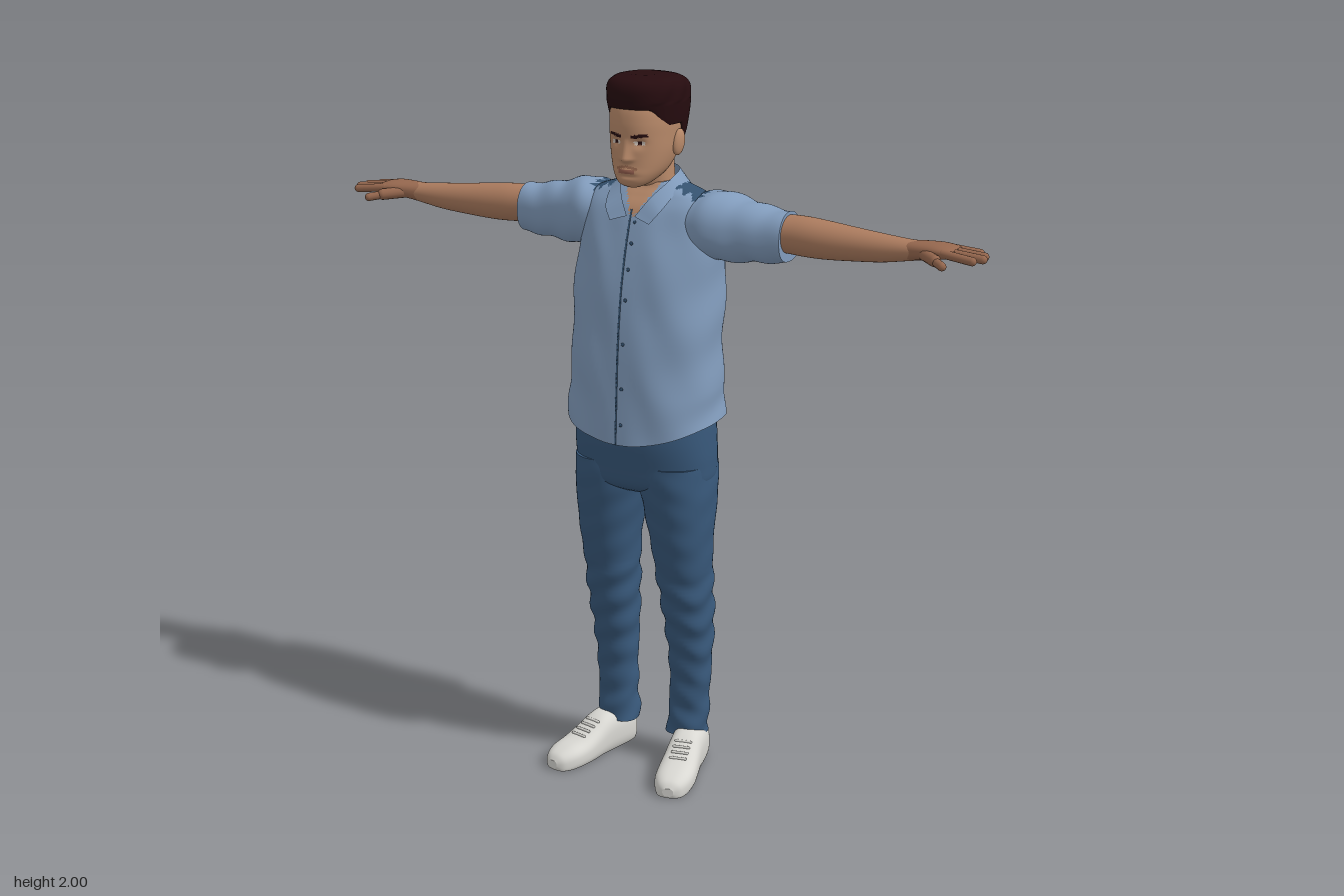
import * as THREE from 'three';

const mat = (name, color) => {
  const m = new THREE.MeshStandardMaterial({ color, side: THREE.DoubleSide });
  m.name = name;
  return m;
};

// Which coordinates (along, a, b) each loft axis uses
const AXES = { x: [0, 2, 1], y: [1, 0, 2], z: [2, 1, 0] };

// Rounded body along an axis. Rows: [along, aMin, aMax, bMin, bMax]; n = squareness of the section
function loft(axis, rows, { n = 2.3, seg = 48, sub = 6, warp, color, caps = [true, true] } = {}) {
  const [T, A, B] = AXES[axis];
  const pos = [], buckets = [], steps = (rows.length - 1) * sub;
  const spline = (p0, p1, p2, p3, t) => 0.5 * (2 * p1 + (p2 - p0) * t
    + (2 * p0 - 5 * p1 + 4 * p2 - p3) * t * t + (3 * p1 - p0 - 3 * p2 + p3) * t * t * t);
  const at = (s) => {
    const i = Math.min(Math.floor(s / sub), rows.length - 2);
    const r = (k) => rows[THREE.MathUtils.clamp(i + k, 0, rows.length - 1)];
    return rows[0].map((_, c) => spline(r(-1)[c], r(0)[c], r(1)[c], r(2)[c], s / sub - i));
  };
  const pw = (v) => Math.sign(v) * Math.pow(Math.abs(v), 2 / n);
  const push = (r, ca, cb) => {
    const p = [0, 0, 0];
    p[T] = r[0];
    p[A] = (r[1] + r[2]) / 2 + (r[2] - r[1]) / 2 * ca;
    p[B] = (r[3] + r[4]) / 2 + (r[4] - r[3]) / 2 * cb;
    const v = new THREE.Vector3(...p);
    if (warp) warp(v);
    return pos.push(v) - 1;
  };
  const ring = (r) => {
    const start = pos.length;
    for (let j = 0; j < seg; j++) {
      const th = j / seg * Math.PI * 2;
      push(r, pw(Math.cos(th)), pw(Math.sin(th)));
    }
    return start;
  };
  const tri = (a, b, c) => {
    const mid = pos[a].clone().add(pos[b]).add(pos[c]).divideScalar(3);
    const k = color ? color(mid) : 0;
    (buckets[k] ||= []).push(a, b, c);
  };
  for (let s = 0; s <= steps; s++) ring(at(s));
  for (let s = 0; s < steps; s++) for (let j = 0; j < seg; j++) {
    const a = s * seg + j, b = s * seg + (j + 1) % seg;
    tri(a, a + seg, b);
    tri(b, a + seg, b + seg);
  }
  [0, steps].forEach((s, e) => {
    if (!caps[e]) return;
    const r = at(s), st = ring(r), c = push(r, 0, 0);
    for (let j = 0; j < seg; j++) {
      const a = st + j, b = st + (j + 1) % seg;
      e ? tri(c, b, a) : tri(c, a, b);
    }
  });
  return build(pos, buckets);
}

function build(points, buckets) {
  const g = new THREE.BufferGeometry().setFromPoints(points);
  g.setIndex(buckets.flat());
  let start = 0;
  buckets.forEach((b, k) => { g.addGroup(start, b.length, k); start += b.length; });
  g.computeVertexNormals();
  return g;
}

function mirrored(geo) {
  const g = geo.clone().scale(-1, 1, 1), ix = g.index.array;
  for (let i = 0; i < ix.length; i += 3) [ix[i], ix[i + 1]] = [ix[i + 1], ix[i]];
  return g;
}

// Round-ended rod between two points
function rod(p, q, r) {
  const a = new THREE.Vector3(...p), b = new THREE.Vector3(...q), d = b.clone().sub(a);
  const g = new THREE.CapsuleGeometry(r, d.length(), 6, 14);
  g.applyQuaternion(new THREE.Quaternion().setFromUnitVectors(new THREE.Vector3(0, 1, 0), d.normalize()));
  const c = a.add(b).multiplyScalar(0.5);
  return g.translate(c.x, c.y, c.z);
}

export function createModel() {
  const model = new THREE.Group();
  const skin = mat('skin', 0xb98a6a), armSkin = mat('arm skin', 0xab7b5e), handSkin = mat('hand skin', 0x95674e);
  const hair = mat('hair', 0x260c0f), shirt = mat('shirt blue', 0x819bbb), navy = mat('dark blue', 0x34516e);
  const denim = mat('denim', 0x38587a), shoe = mat('shoe white', 0xd8d7d2);
  const lip = mat('lips', 0x96604f), eyeWhite = mat('eye white', 0xcfc4ba);
  const add = (name, geo, m) => {
    const mesh = new THREE.Mesh(geo, m);
    mesh.name = name;
    model.add(mesh);
  };
  const pair = (name, geo, m) => {
    add('left' + name, geo, m);
    add('right' + name, mirrored(geo), m);
  };
  const sym = (y, r, zb, zf) => [y, -r, r, zb, zf];

  // Shirt body with curved hem, open neck and dark shoulder patches
  const patch = (p) => p.y > 1.63 && Math.abs(Math.abs(p.x) - 0.13) < 0.038 + 0.008 * Math.sin(p.z * 190)
    && Math.abs(p.z + 0.06) < 0.045 + 0.01 * Math.sin(p.x * 220);
  const torso = [sym(1.0, 0.224, -0.19, 0.14), sym(1.1, 0.219, -0.188, 0.135), sym(1.25, 0.213, -0.185, 0.127),
    sym(1.4, 0.212, -0.194, 0.11), sym(1.5, 0.209, -0.195, 0.09), sym(1.58, 0.204, -0.187, 0.067),
    sym(1.64, 0.19, -0.165, 0.045), sym(1.675, 0.165, -0.142, 0.02), sym(1.695, 0.115, -0.125, 0.005),
    sym(1.71, 0.075, -0.115, 0)];
  add('shirtBody', loft('y', torso, {
    n: 2.4, seg: 112, sub: 8, caps: [false, true],
    warp: (v) => {
      const f = Math.max(0, (1.15 - v.y) / 0.15);
      v.z += 0.003 * Math.sin(v.x * 38 + v.y * 20) * Math.min(1, Math.abs(v.x) * 12);
      v.x += 0.003 * Math.sin(v.y * 34 + v.z * 12);
      v.y += f * (0.055 * (v.x / 0.22) ** 2 + (v.z < 0 ? 0.1 * Math.min(0.2, -v.z) : 0));
    },
    color: (p) => p.z > -0.03 && p.y > 1.615 && Math.abs(p.x) < (p.y - 1.612) * 0.55 ? 2 : patch(p) ? 1 : 0,
  }), [shirt, navy, skin]);
  pair('Sleeve', loft('x', [[0.12, -0.15, 0.025, 1.52, 1.665], [0.18, -0.165, 0.033, 1.505, 1.69],
    [0.23, -0.165, 0.024, 1.503, 1.686], [0.28, -0.158, 0.01, 1.505, 1.673],
    [0.34, -0.15, 0, 1.51, 1.66], [0.405, -0.143, -0.008, 1.515, 1.652]], {
    seg: 64, warp: (v) => { v.y += 0.003 * Math.sin(v.x * 70 + v.z * 30); }, color: (p) => (patch(p) ? 1 : 0),
  }), [shirt, navy]);

  // Folded collar swept round the neck between an upper and a lower edge
  const edge = (pts) => new THREE.CatmullRomCurve3(pts.map((p) => new THREE.Vector3(...p)));
  const top = edge([[0.012, 1.625, 0.066], [0.045, 1.675, 0.036], [0.075, 1.72, -0.03], [0.06, 1.738, -0.1], [0, 1.745, -0.118],
    [-0.06, 1.738, -0.1], [-0.075, 1.72, -0.03], [-0.045, 1.675, 0.036], [-0.012, 1.625, 0.066]]);
  const low = edge([[0.06, 1.61, 0.074], [0.085, 1.645, 0.052], [0.1, 1.698, -0.04], [0.078, 1.685, -0.137], [0, 1.69, -0.148],
    [-0.078, 1.685, -0.137], [-0.1, 1.698, -0.04], [-0.085, 1.645, 0.052], [-0.06, 1.61, 0.074]]);
  const cp = [], ci = [];
  for (let i = 0; i <= 48; i++) {
    cp.push(top.getPoint(i / 48), low.getPoint(i / 48));
    if (i < 48) ci.push(2 * i, 2 * i + 2, 2 * i + 1, 2 * i + 1, 2 * i + 2, 2 * i + 3);
  }
  add('collar', build(cp, [ci]), shirt);

  // Button placket
  const front = new THREE.CatmullRomCurve3(torso.slice(0, 7).map((r) => new THREE.Vector3(-0.008, r[0], r[4])));
  add('placketSeam', new THREE.TubeGeometry(front, 50, 0.0028, 6), navy);
  for (let i = 0; i < 7; i++) {
    const p = front.getPoint(0.1 + i * 0.135);
    add('button', new THREE.SphereGeometry(0.005, 10, 8).scale(1, 1, 0.6).translate(0.008, p.y, p.z + 0.001), navy);
  }

  // Jeans
  add('jeansHips', loft('y', [sym(0.84, 0.13, -0.11, 0.05), sym(0.87, 0.195, -0.152, 0.096), sym(0.93, 0.205, -0.163, 0.109),
    sym(1.0, 0.204, -0.164, 0.12), sym(1.08, 0.2, -0.164, 0.12)], { n: 2.4 }), denim);
  pair('JeansLeg', loft('y', [[0.09, 0.054, 0.172, -0.122, -0.012], [0.13, 0.056, 0.173, -0.122, -0.016],
    [0.2, 0.06, 0.175, -0.122, -0.02], [0.3, 0.06, 0.18, -0.125, -0.014], [0.4, 0.055, 0.186, -0.132, 0.005],
    [0.5, 0.049, 0.19, -0.13, 0.03], [0.6, 0.04, 0.192, -0.122, 0.05], [0.7, 0.03, 0.197, -0.122, 0.072],
    [0.8, 0.012, 0.203, -0.14, 0.088], [0.87, 0, 0.204, -0.152, 0.098], [0.93, 0, 0.2, -0.155, 0.1]], {
    sub: 8, warp: (v) => {
      const f = v.y < 0.6 ? 1 : 0.3;
      v.z += 0.004 * f * Math.sin(v.y * 75 + v.x * 35);
      v.x += 0.003 * f * Math.sin(v.y * 62 + v.z * 30);
    },
  }), denim);

  // Shoes, turned slightly outwards
  const place = (g) => g.rotateY(0.23).translate(0.143, 0, 0);
  pair('Shoe', place(loft('z', [[-0.128, 0.012, 0.07, -0.026, 0.026], [-0.115, -0.015, 0.1, -0.042, 0.042],
    [-0.06, -0.015, 0.118, -0.05, 0.05], [0, -0.015, 0.113, -0.05, 0.05], [0.05, -0.015, 0.09, -0.053, 0.053],
    [0.1, -0.015, 0.07, -0.056, 0.056], [0.15, -0.015, 0.06, -0.052, 0.052], [0.185, -0.015, 0.047, -0.037, 0.037],
    [0.2, 0.006, 0.03, -0.016, 0.016]], { n: 2.6, warp: (v) => { v.y = Math.max(v.y, 0); } })), shoe);
  for (let i = 0; i < 4; i++) {
    const z = 0.03 + i * 0.02, y = 0.099 - i * 0.0085;
    pair('Lace', place(rod([-0.022, y, z], [0.022, y, z], 0.004)), shoe);
  }

  // Arms, palms, fingers and thumbs
  pair('Arm', loft('x', [[0.3, -0.135, -0.02, 1.545, 1.645], [0.4, -0.132, -0.018, 1.542, 1.645],
    [0.46, -0.128, -0.015, 1.539, 1.645], [0.52, -0.125, -0.015, 1.539, 1.64], [0.6, -0.116, -0.019, 1.544, 1.632],
    [0.68, -0.106, -0.023, 1.551, 1.625], [0.75, -0.097, -0.026, 1.563, 1.62], [0.79, -0.097, -0.026, 1.57, 1.618]],
  { n: 2.1 }), armSkin);
  pair('Palm', loft('x', [[0.755, -0.094, -0.028, 1.566, 1.618], [0.8, -0.103, -0.02, 1.573, 1.62],
    [0.84, -0.108, -0.012, 1.58, 1.62], [0.87, -0.107, -0.01, 1.585, 1.616], [0.885, -0.1, -0.016, 1.59, 1.61]],
  { n: 2.5 }), handSkin);
  [[-0.021, -0.008, 0.945], [-0.046, -0.041, 0.961], [-0.071, -0.072, 0.954], [-0.095, -0.104, 0.93]].forEach(([z0, z1, x]) => {
    pair('Finger', rod([0.86, 1.602, z0], [x, 1.594, z1], 0.0115), handSkin);
  });
  pair('ThumbBase', rod([0.8, 1.592, -0.038], [0.85, 1.588, 0.006], 0.016), handSkin);
  pair('Thumb', rod([0.845, 1.588, 0.002], [0.88, 1.582, 0.033], 0.0115), handSkin);

  // Neck and head with nose, eye sockets, lips and painted features
  add('neck', loft('y', [sym(1.6, 0.068, -0.12, -0.005), sym(1.68, 0.062, -0.115, 0.0), sym(1.74, 0.06, -0.115, 0.015),
    sym(1.79, 0.06, -0.11, 0.02)]), skin);
  const bump = (d, w) => Math.exp(-((d / w) ** 2));
  add('head', loft('y', [sym(1.704, 0.018, 0.03, 0.066), sym(1.714, 0.04, -0.005, 0.085), sym(1.735, 0.06, -0.06, 0.092),
    sym(1.762, 0.074, -0.095, 0.09), sym(1.8, 0.084, -0.125, 0.09), sym(1.84, 0.088, -0.14, 0.092),
    sym(1.88, 0.09, -0.145, 0.092), sym(1.92, 0.087, -0.145, 0.084), sym(1.96, 0.068, -0.12, 0.06),
    sym(1.98, 0.04, -0.08, 0.03)], {
    seg: 144, sub: 10, n: 2.25,
    warp: (v) => {
      if (v.z < 0.03) return;
      const nose = v.y > 1.782 ? Math.max(0, 1.838 - v.y) / 0.056 : Math.max(0, 1 - (1.782 - v.y) / 0.011);
      v.z += 0.018 * nose * bump(v.x, 0.008 + 0.008 * nose);
      v.z -= 0.009 * bump(Math.abs(v.x) - 0.034, 0.016) * bump(v.y - 1.826, 0.013);
      v.z += 0.004 * bump(v.x, 0.022) * bump(v.y - 1.752, 0.008) - 0.004 * bump(v.x, 0.03) * bump(v.y - 1.737, 0.006);
    },
    color: (p) => {
      const x = Math.abs(p.x);
      if (p.z < 0.03) return 0;
      if (x > 0.015 && x < 0.056 && Math.abs(p.y - 1.842 - x * 0.12) < 0.0045) return 1;
      if (Math.abs(x - 0.035) < 0.014 && Math.abs(p.y - 1.827) < 0.0045) return Math.abs(x - 0.035) < 0.006 ? 1 : 2;
      if (x < 0.024 && Math.abs(p.y - 1.751) < 0.0055) return 3;
      return x < 0.03 && Math.abs(p.y - 1.764 + x * 0.2) < 0.0035 ? 4 : 0;
    },
  }), [skin, hair, eyeWhite, lip, handSkin]);
  pair('Ear', new THREE.SphereGeometry(1, 20, 16).scale(0.012, 0.036, 0.021).rotateX(-0.2).rotateY(-0.25)
    .translate(0.091, 1.818, -0.036), skin);

  // Hair: short sides, long nape, swept-up top
  const hairline = (z) => {
    const s = THREE.MathUtils.smoothstep;
    return 1.795 + 0.075 * s(z, -0.085, -0.045) + 0.045 * s(z, 0.02, 0.07);
  };
  add('hair', loft('y', [sym(1.785, 0.07, -0.112, 0.02), sym(1.83, 0.087, -0.142, 0.04), sym(1.87, 0.095, -0.157, 0.07),
    sym(1.905, 0.1, -0.163, 0.083), sym(1.94, 0.103, -0.163, 0.092), sym(1.97, 0.1, -0.15, 0.09),
    sym(1.99, 0.084, -0.115, 0.073), sym(2.0, 0.045, -0.06, 0.035)], {
    seg: 72, sub: 8, n: 2.3,
    warp: (v) => {
      v.y = Math.max(v.y, hairline(v.z));
      if (v.y > 1.93) v.x += 0.002 * Math.sin(v.z * 90 + v.y * 60);
    },
  }), hair);
  return model;
}
